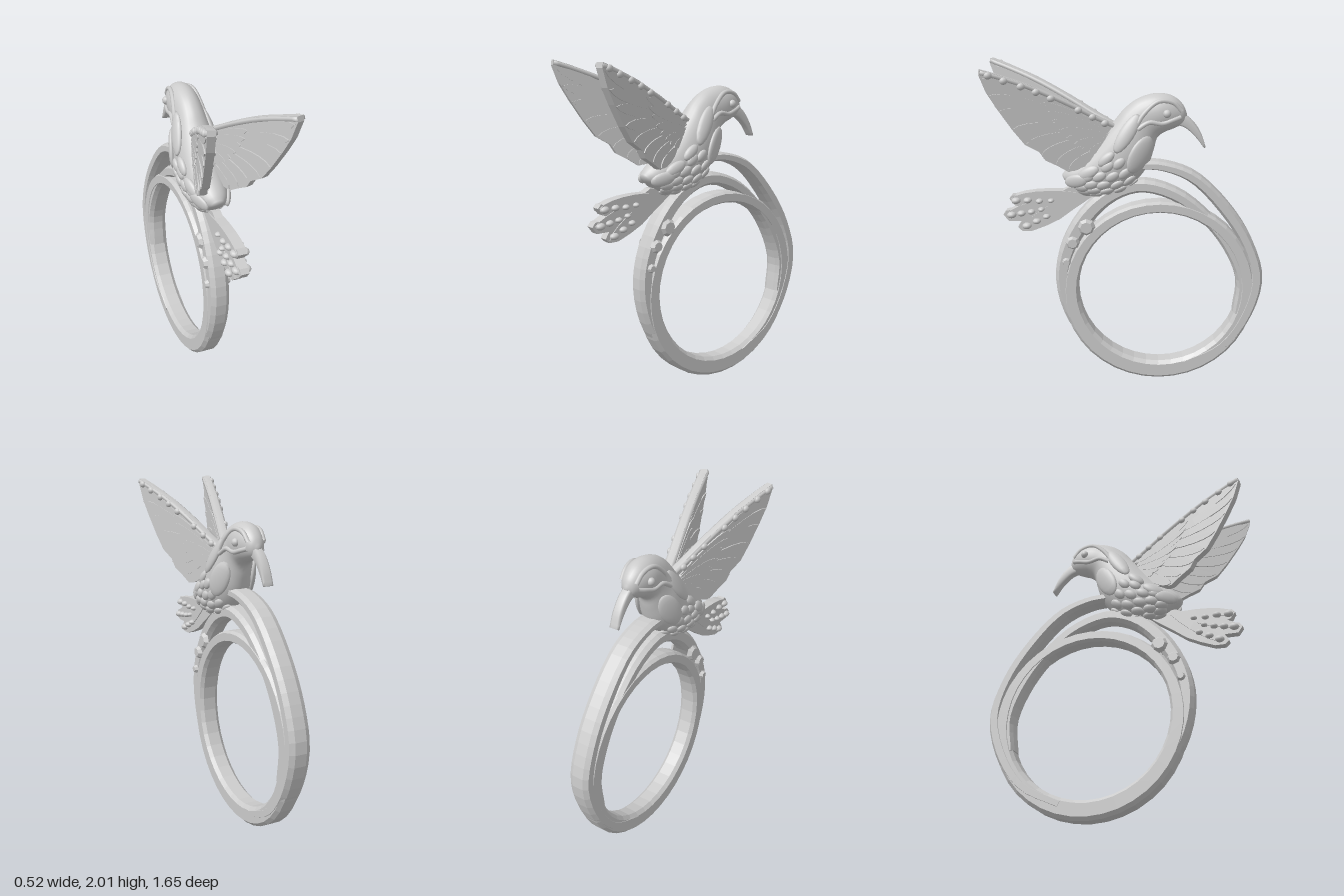
import * as THREE from 'three';

const V = (x, y, z) => new THREE.Vector3(x, y, z);
const smooth = new THREE.MeshStandardMaterial({ color: 0xcccccc });
const faceted = new THREE.MeshStandardMaterial({ color: 0xcccccc, flatShading: true });

function add(parent, name, geometry, material = smooth) {
  const mesh = new THREE.Mesh(geometry, material);
  mesh.name = name;
  parent.add(mesh);
  return mesh;
}

// Skin a list of rings (each an array of points) with closed ends
function loft(rings) {
  const middle = r => {
    const c = r.reduce((s, p) => s.add(p), V(0, 0, 0)).divideScalar(r.length);
    return r.map(() => c);
  };
  const all = [middle(rings[0]), ...rings, middle(rings[rings.length - 1])];
  const n = rings[0].length, index = [];
  for (let i = 0; i < all.length - 1; i++) for (let j = 0; j < n; j++) {
    const k = (j + 1) % n, a = i * n, b = a + n;
    index.push(a + j, a + k, b + k, a + j, b + k, b + j);
  }
  const g = new THREE.BufferGeometry().setFromPoints(all.flat());
  g.setIndex(index);
  g.computeVertexNormals();
  return g;
}

// Chamfered strip along a path of [z, y, thickness], w = half width across
function band(points, w, segments, chamfer = 0.45, closed = false) {
  const curve = new THREE.CatmullRomCurve3(points.map(([z, y, t]) => V(t, y, z)), closed);
  const rings = [];
  for (let i = 0; i <= segments; i++) {
    const p = curve.getPoint(i / segments), t = curve.getTangent(i / segments);
    t.x = 0;
    t.normalize();
    const h = p.x / 2, f = 1 - chamfer;
    rings.push([[1, -f], [1, f], [f, 1], [-f, 1], [-1, f], [-1, -f], [-f, -1], [f, -1]]
      .map(([a, b]) => V(a * w, p.y + t.z * b * h, p.z - t.y * b * h)));
  }
  return loft(rings);
}

// Upright plate drawn in (z, y), centred on x = 0
function plate(shape, depth) {
  const g = new THREE.ExtrudeGeometry(shape, { depth, bevelEnabled: false, curveSegments: 6 });
  return g.translate(0, 0, -depth / 2).rotateY(-Math.PI / 2);
}
const outline = pts => new THREE.Shape(pts.map(([a, b]) => new THREE.Vector2(a, b)));

// Pointed feather from a to b
function feather([ax, ay], [bx, by], w) {
  const dx = bx - ax, dy = by - ay, l = Math.hypot(dx, dy), nx = -dy / l * w, ny = dx / l * w;
  const s = new THREE.Shape();
  s.moveTo(ax, ay);
  s.bezierCurveTo(ax + dx * 0.4 + nx, ay + dy * 0.4 + ny, bx - dx * 0.1 + nx, by - dy * 0.1 + ny, bx, by);
  s.bezierCurveTo(bx - dx * 0.1 - nx, by - dy * 0.1 - ny, ax + dx * 0.4 - nx, ay + dy * 0.4 - ny, ax, ay);
  return s;
}

function bead(parent, name, x, y, z, rx, ry, rz) {
  const m = add(parent, name, new THREE.SphereGeometry(1, 12, 8));
  m.position.set(x, y, z);
  m.scale.set(rx, ry, rz);
  return m;
}

// Body sections, beak to rump: top z, top y, bottom z, bottom y, half width
const sections = [
  [-0.335, 1.71, -0.33, 1.68, 0.012], [-0.31, 1.765, -0.31, 1.65, 0.045],
  [-0.25, 1.815, -0.25, 1.62, 0.075], [-0.16, 1.83, -0.2, 1.6, 0.09],
  [-0.05, 1.8, -0.165, 1.57, 0.09], [0.03, 1.74, -0.145, 1.5, 0.1],
  [0.08, 1.68, -0.11, 1.4, 0.118], [0.14, 1.61, -0.03, 1.3, 0.128],
  [0.21, 1.53, 0.08, 1.24, 0.125], [0.29, 1.45, 0.2, 1.225, 0.108],
  [0.37, 1.385, 0.3, 1.245, 0.075], [0.4, 1.345, 0.38, 1.305, 0.03]];
const topLine = new THREE.CatmullRomCurve3(sections.map(s => V(s[4], s[1], s[0])));
const bottomLine = new THREE.CatmullRomCurve3(sections.map(s => V(s[4], s[3], s[2])));
function onBody(t, a) {
  const u = topLine.getPoint(t), d = bottomLine.getPoint(t), s = Math.sin(a);
  return V(u.x * Math.cos(a), (u.y + d.y) / 2 + (u.y - d.y) / 2 * s, (u.z + d.z) / 2 + (u.z - d.z) / 2 * s);
}

// Flattened plume lying on the body; section index i, angle in degrees
function plume(parent, name, i, degrees, length, width, height, side) {
  const t = i / 11, a = degrees * Math.PI / 180, e = 0.01;
  const p = onBody(t, a);
  const along = onBody(t + e, a).sub(onBody(t - e, a)).normalize();
  const around = onBody(t, a + e).sub(onBody(t, a - e));
  const normal = around.clone().cross(along).normalize();
  const across = normal.clone().cross(along);
  const m = add(parent, name, new THREE.SphereGeometry(1, 14, 10));
  m.quaternion.setFromRotationMatrix(new THREE.Matrix4().makeBasis(along, across, normal));
  m.position.copy(p);
  m.scale.set(length, width, height);
  if (side < 0) {
    m.position.x *= -1;
    m.quaternion.set(m.quaternion.x, -m.quaternion.y, -m.quaternion.z, m.quaternion.w);
  }
}

function buildRing(parent) {
  const loop = [];
  for (let i = 0; i < 16; i++) {
    const a = i / 16 * Math.PI * 2, outer = 0.595 - 0.025 * Math.sin(a), r = (0.5 + outer) / 2;
    loop.push([-0.185 + Math.cos(a) * r, 0.615 + Math.sin(a) * r, outer - 0.5]);
  }
  add(parent, 'ringBand', band(loop, 0.062, 40, 0.35, true), faceted);
  add(parent, 'outerArm', band([[-0.35, 0.1, 0.06], [-0.58, 0.22, 0.07], [-0.72, 0.42, 0.08], [-0.785, 0.68, 0.08],
    [-0.72, 0.91, 0.075], [-0.58, 1.13, 0.075], [-0.38, 1.33, 0.065], [-0.2, 1.4, 0.055], [-0.05, 1.41, 0.05]], 0.065, 30), faceted);
  add(parent, 'middleArm', band([[0, 0.1, 0.06], [0.2, 0.22, 0.08], [0.35, 0.43, 0.09], [0.41, 0.68, 0.09],
    [0.37, 0.89, 0.1], [0.25, 1.1, 0.1], [0.1, 1.23, 0.09], [-0.07, 1.28, 0.08], [-0.28, 1.22, 0.075],
    [-0.48, 1.06, 0.07], [-0.62, 0.87, 0.07], [-0.7, 0.66, 0.07], [-0.68, 0.45, 0.06]], 0.058, 44), faceted);
  for (const side of [1, -1])
    for (const [z, y, r] of [[0.26, 1.03, 0.055], [0.345, 0.93, 0.044], [0.385, 0.805, 0.029]]) {
      // Faceted stone in a shallow setting
      const gem = add(parent, 'ringGem', new THREE.CylinderGeometry(r * 0.65, r, 0.025, 8), faceted);
      gem.rotation.z = -side * Math.PI / 2;
      gem.position.set(side * 0.066, y, z);
    }
}

function buildBody(parent) {
  const rings = [];
  for (let i = 0; i <= 48; i++) {
    const ring = [];
    for (let j = 0; j < 28; j++) ring.push(onBody(i / 48, j / 28 * Math.PI * 2));
    rings.push(ring);
  }
  add(parent, 'body', loft(rings));
  add(parent, 'beak', band([[-0.27, 1.69, 0.08], [-0.34, 1.655, 0.06], [-0.4, 1.59, 0.04], [-0.443, 1.512, 0.012]], 0.03, 12, 0.35));
  for (const side of [1, -1]) {
    bead(parent, 'eye', side * 0.085, 1.725, -0.215, 0.022, 0.024, 0.024);
    // Ridges over and under the eye, running back to the neck
    for (const path of [[[1.2, 20], [2, 42], [3, 42], [4, 22], [5, 15]], [[1.3, -10], [2, -20], [3, -25], [4, -5], [5, 8]]]) {
      const pts = path.map(([i, d]) => onBody(i / 11, d * Math.PI / 180).multiply(V(side, 1, 1)));
      add(parent, 'browRidge', new THREE.TubeGeometry(new THREE.CatmullRomCurve3(pts), 20, 0.014, 8));
    }
    plume(parent, 'breastPatch', 5.9, -25, 0.12, 0.065, 0.022, side);
    plume(parent, 'shoulder', 5.8, 25, 0.13, 0.045, 0.022, side);
    plume(parent, 'flankFeather', 7.6, 22, 0.06, 0.03, 0.02, side);
    plume(parent, 'flankFeather', 8.8, 18, 0.07, 0.035, 0.02, side);
    plume(parent, 'rumpFeather', 9.7, 5, 0.075, 0.04, 0.018, side);
    for (let row = 0; row < 5; row++)
      for (let k = 0; k < 4; k++)
        plume(parent, 'scale', 7.1 + row * 0.62, -74 + k * 24 + (row % 2) * 10, 0.042, 0.028, 0.017, side);
  }
}

function buildWing(parent, side) {
  const wing = new THREE.Group();
  wing.name = side > 0 ? 'leftWing' : 'rightWing';
  wing.position.set(side * 0.02, 0, 0.1);
  wing.rotation.y = side * 0.285;
  wing.scale.z = 1.04;
  parent.add(wing);
  const local = pts => pts.map(([z, y]) => [z - 0.1, y]);
  add(wing, 'wingPlate', plate(outline(local([[0.04, 1.62], [0.1, 1.655], [0.2, 1.715], [0.35, 1.8], [0.55, 1.9], [0.73, 1.97],
    [0.82, 2], [0.825, 1.97], [0.79, 1.87], [0.74, 1.78], [0.665, 1.66], [0.6, 1.57], [0.52, 1.52],
    [0.49, 1.47], [0.42, 1.43], [0.36, 1.39], [0.25, 1.42], [0.12, 1.5]])), 0.042));
  // Overlapping feathers: long flight feathers, then shorter coverts
  const tips = local([[0.81, 1.955], [0.78, 1.86], [0.73, 1.77], [0.66, 1.665], [0.59, 1.575], [0.51, 1.505], [0.43, 1.445], [0.36, 1.4]]);
  tips.forEach(([z, y], i) => {
    const f = i / 7, inner = [0.28 - 0.2 * f, 1.76 - 0.24 * f];
    add(wing, 'flightFeather', plate(feather(inner, [z, y], 0.042), 0.052 + (i % 2) * 0.004));
    add(wing, 'covertFeather', plate(feather([0.02, 1.62 - 0.06 * f], [z * 0.55, y * 0.55 + 1.62 * 0.45], 0.032), 0.06 + (i % 2) * 0.004));
  });
  add(wing, 'leadingEdge', band(local([[0.06, 1.625], [0.2, 1.7], [0.35, 1.785], [0.55, 1.885], [0.73, 1.955], [0.82, 1.985]])
    .map(p => [...p, 0.028]), 0.03, 16));
  for (const [z, y] of local([[0.78, 1.968], [0.7, 1.935], [0.61, 1.9], [0.53, 1.865], [0.45, 1.825], [0.3, 1.75], [0.22, 1.705], [0.15, 1.665]]))
    bead(wing, 'wingBead', side * 0.028, y, z, 0.016, 0.02, 0.022);
}

function buildTail(parent) {
  add(parent, 'tailPlate', plate(outline([[0.15, 1.26], [0.36, 1.27], [0.46, 1.215], [0.58, 1.2], [0.7, 1.222], [0.72, 1.2], [0.69, 1.16],
    [0.64, 1.14], [0.74, 1.125], [0.76, 1.1], [0.73, 1.06], [0.65, 1.06], [0.675, 1.02], [0.65, 0.995], [0.59, 0.995],
    [0.5, 1.03], [0.42, 1.07], [0.34, 1.13], [0.24, 1.2]]), 0.05));
  for (const tip of [[0.71, 1.2], [0.745, 1.1], [0.65, 1.01]])
    add(parent, 'tailFeather', plate(feather([0.32, 1.24], tip, 0.04), 0.062));
  const spots = [[0.68, 1.19], [0.61, 1.192], [0.54, 1.187], [0.47, 1.19], [0.71, 1.1], [0.65, 1.11], [0.59, 1.12],
    [0.53, 1.135], [0.62, 1.03], [0.56, 1.06], [0.5, 1.09]];
  for (const side of [1, -1])
    spots.forEach(([z, y], i) => {
      const r = 0.029 - (i % 4) * 0.003;
      bead(parent, 'tailBead', side * 0.03, y, z, 0.026, r * 0.7, r).rotation.x = 0.1;
    });
}

export function createModel() {
  const model = new THREE.Group();
  model.name = 'birdRing';
  const part = name => {
    const g = new THREE.Group();
    g.name = name;
    model.add(g);
    return g;
  };
  buildRing(part('ring'));
  const bird = part('bird');
  buildBody(bird);
  buildWing(bird, 1);
  buildWing(bird, -1);
  buildTail(bird);
  return model;
}
